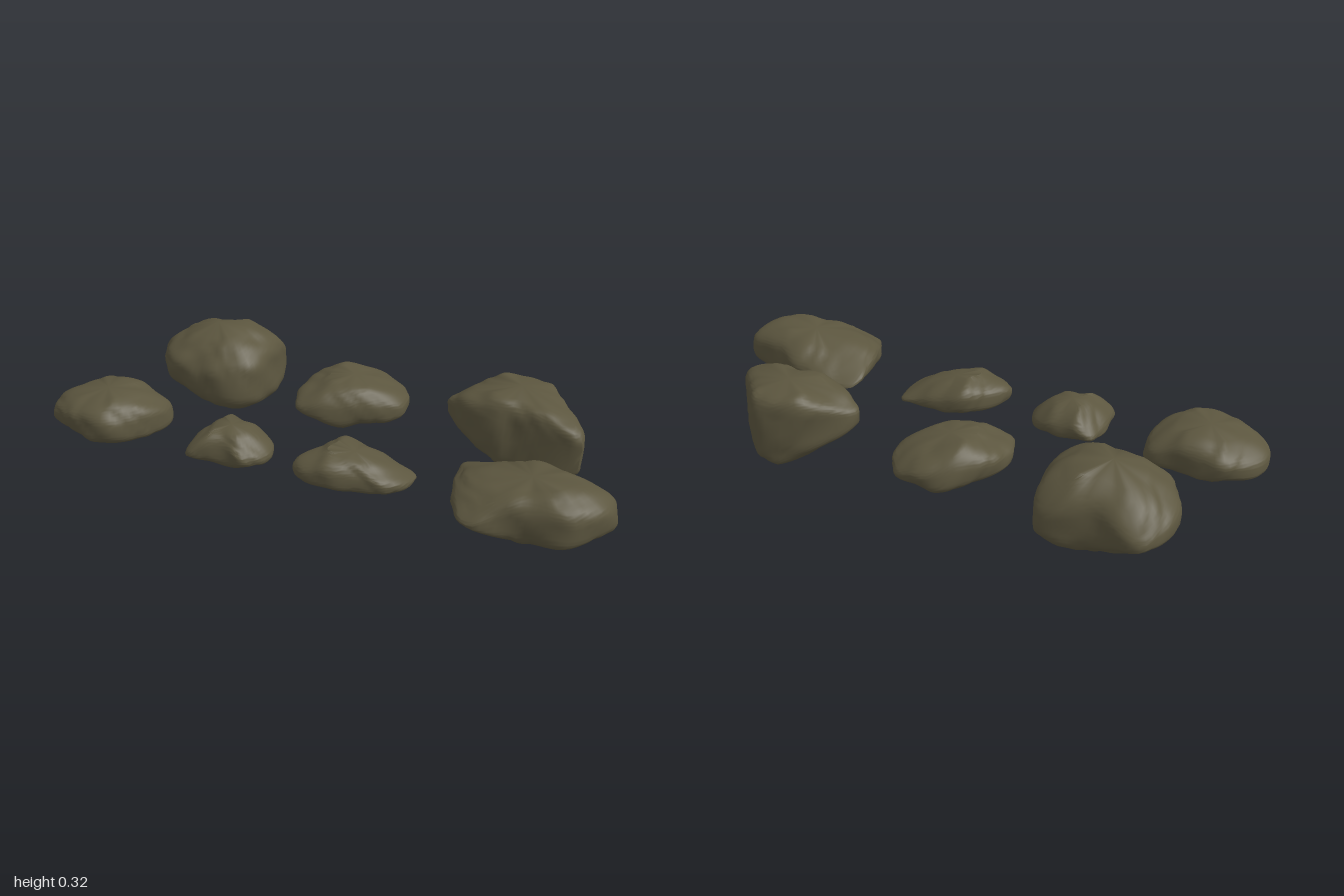
import * as THREE from 'three';
import { mergeVertices, toCreasedNormals } from 'three/addons/utils/BufferGeometryUtils.js';

const SEGMENTS = 64, RINGS = 32, ROUGHNESS = 0.01;

// radii: plan outline at every 45 degrees, from +x towards +z, offset by turn degrees
// top, bottom: heights at even steps along x; taper: loss of height at front and back
// round: 0 is a block, 1 a ball
const ROCKS = [
  { name: 'largeBackLeftRock', x: -.59, z: -.23, turn: 0, radii: [.21, .22, .18, .21, .23, .24, .16, .24],
    top: [.23, .31, .33, .27], bottom: [.12, .02, .03], taper: .09, round: .3 },
  { name: 'roughBackMiddleRock', x: -.04, z: -.19, turn: 0, radii: [.19, .12, .14, .22, .18, .14, .17, .21],
    top: [.2, .25, .23, .17], bottom: [.12, .07, .1], taper: .05, round: .36 },
  { name: 'wedgeBackRightRock', x: .57, z: -.14, turn: 10, radii: [.235, .05, .04, .08, .26, .22, .22, .19],
    top: [.24, .31, .3, .25], bottom: [.16, .01, .06], taper: .015, round: .2 },
  { name: 'blockFrontLeftRock', x: -.8, z: .22, turn: -30, radii: [.225, .18, .165, .15, .2, .19, .165, .135],
    top: [.17, .23, .24, .18], bottom: [.1, .07, .08], taper: .04, round: .28 },
  { name: 'smallFrontRock', x: -.31, z: .23, turn: 0, radii: [.14, .13, .08, .16, .13, .15, .11, .13],
    top: [.15, .21, .19, .13], bottom: [.09, .07, .08], taper: .04, round: .4 },
  { name: 'slopingFrontRock', x: .13, z: .21, turn: -23, radii: [.21, .15, .09, .125, .2, .135, .12, .12],
    top: [.17, .21, .175, .115], bottom: [.09, .075, .08], taper: .03, round: .36 },
  { name: 'longFrontRightRock', x: .7, z: .2, turn: -10, radii: [.275, .23, .14, .24, .23, .26, .165, .15],
    top: [.2, .25, .265, .225], bottom: [.13, .06, .09], taper: .07, round: .3 }
];

// Value of an evenly spaced profile at t from 0 to 1
function sample(profile, t) {
  const f = THREE.MathUtils.clamp(t, 0, 1) * (profile.length - 1);
  const i = Math.min(Math.floor(f), profile.length - 2);
  return THREE.MathUtils.lerp(profile[i], profile[i + 1], f - i);
}

// Lumpy surface: broad swells plus small shallow creases
function lumps({ x, y, z }, seed) {
  const swell = Math.sin(19 * x + 11 * y + seed) * Math.sin(23 * z - 13 * y + 2 * seed);
  const bumps = Math.sin(37 * x + 31 * z + seed * 3) * Math.sin(43 * y - 29 * z + seed);
  const crease = Math.abs(Math.sin(31 * x - 23 * z + 28 * y + 1.5 * swell + seed * 5));
  return 0.7 * swell + 0.4 * bumps + 0.4 * (crease - 0.65);
}

function rockGeometry(rock, seed) {
  // Plan outline, its extent and its middle
  const corners = rock.radii.map((r, i) => {
    const angle = THREE.MathUtils.degToRad(rock.turn + i * 45);
    return new THREE.Vector3(rock.x + r * Math.cos(angle), 0, rock.z + r * Math.sin(angle));
  });
  const outline = new THREE.CatmullRomCurve3(corners, true, 'centripetal')
    .getSpacedPoints(SEGMENTS).slice(0, SEGMENTS);
  const extent = new THREE.Box3().setFromPoints(outline);
  const size = extent.getSize(new THREE.Vector3());
  const centre = extent.getCenter(new THREE.Vector3());

  const heights = ({ x, z }) => {
    const along = (x - extent.min.x) / size.x;
    const loss = rock.taper * (2 * (z - centre.z) / size.z) ** 2;
    const high = sample(rock.top, along) - loss;
    const low = Math.min(sample(rock.bottom, along) + loss / 2, high - 0.02);
    return { middle: (high + low) / 2, half: (high - low) / 2 };
  };
  const core = centre.clone().setY(heights(centre).middle);

  // Stacked rings, from the underside up to the crown
  const positions = [], index = [];
  for (let i = 0; i <= RINGS; i++) {
    const phi = (i / RINGS - 0.5) * Math.PI;
    const spread = i % RINGS === 0 ? 0 : Math.cos(phi) ** rock.round;
    const rise = Math.sign(phi) * Math.abs(Math.sin(phi)) ** (rock.round + 0.2);
    for (let j = 0; j < SEGMENTS; j++) {
      const p = centre.clone().lerp(outline[j], spread);
      const { middle, half } = heights(p);
      p.y = middle + rise * half;
      const outward = p.clone().sub(core).normalize();
      p.addScaledVector(outward, ROUGHNESS * lumps(p, seed));
      positions.push(p.x, Math.max(p.y, 0), p.z);

      if (i === RINGS) continue;
      const a = i * SEGMENTS + j, b = i * SEGMENTS + (j + 1) % SEGMENTS;
      if (i < RINGS - 1) index.push(a + SEGMENTS, b + SEGMENTS, b);
      if (i > 0) index.push(a, a + SEGMENTS, b);
    }
  }
  const geometry = new THREE.BufferGeometry();
  geometry.setAttribute('position', new THREE.Float32BufferAttribute(positions, 3));
  geometry.setIndex(index);
  return toCreasedNormals(mergeVertices(geometry, 1e-5), 0.7);
}

export function createModel() {
  const group = new THREE.Group();
  group.name = 'rocks';
  const stone = new THREE.MeshStandardMaterial({ color: 0x5c563f });
  stone.name = 'mossy stone';
  ROCKS.forEach((rock, i) => {
    const mesh = new THREE.Mesh(rockGeometry(rock, i * 1.7 + 0.4), stone);
    mesh.name = rock.name;
    group.add(mesh);
  });
  return group;
}
